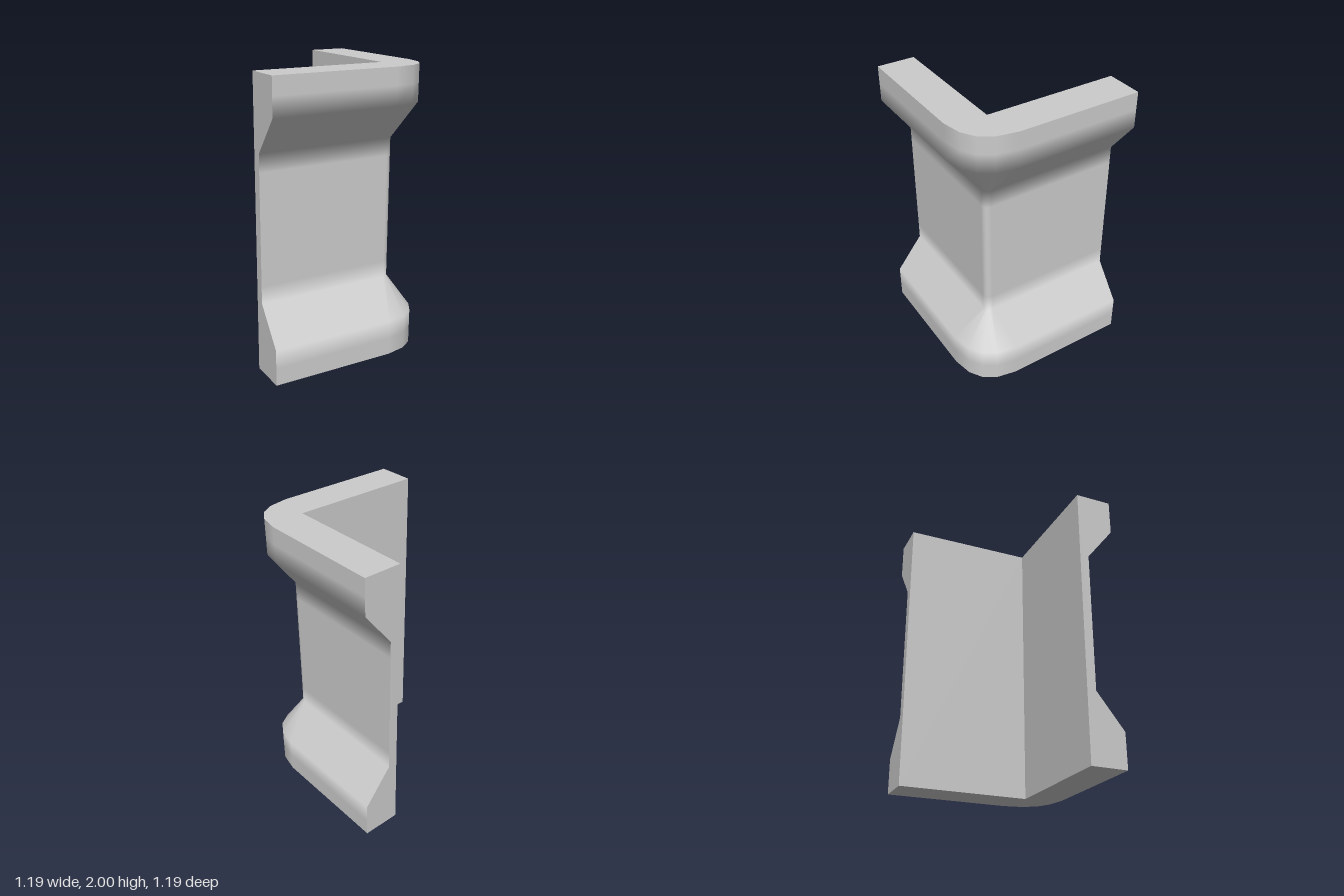
import * as THREE from 'three';

const E = 0.597;      // outer extent
const IN = 0.335;     // inner faces
const WAIST = 0.4;    // recessed outer faces
const H = 2;

// Rows of the outer skin: height, outward reach, corner rounding, vertical tilt of the normal
const lower = [
  [0, E, 1, 0], [0.12, E, 1, 0], [0.25, E, 1, 0.8],
  [0.5, WAIST, 0.15, 0.8], [0.62, WAIST, 0.15, 0],
];
const rows = [...lower, ...lower.map(([y, o, s, t]) => [H - y, o, s, -t]).reverse()];

// Rounded corner, as insets from the sharp corner
const corner = [[0.315, 0], [0.175, 0.028], [0.085, 0.085], [0.028, 0.175], [0, 0.315]];

// Outer outline of one row, from the left end round the corner to the back end
function outline(out, round) {
  return [[-E, out], ...corner.map(([a, b]) => [out - a * round, out - b * round]), [out, -E]];
}

function outerSkin() {
  const pos = [], nor = [], idx = [];
  const angles = [0, 0, 1, 2, 3, 4, 4].map((k) => (k * Math.PI) / 8);
  const n = angles.length;
  rows.forEach(([y, out, round, tilt], i) => {
    outline(out, round).forEach(([x, z], j) => {
      pos.push(x, y, z);
      const v = new THREE.Vector3(Math.sin(angles[j]), tilt, Math.cos(angles[j])).normalize();
      nor.push(v.x, v.y, v.z);
      if (i < rows.length - 1 && j < n - 1) {
        const a = i * n + j;
        idx.push(a, a + 1, a + n + 1, a, a + n + 1, a + n);
      }
    });
  });
  const g = new THREE.BufferGeometry();
  g.setAttribute('position', new THREE.Float32BufferAttribute(pos, 3));
  g.setAttribute('normal', new THREE.Float32BufferAttribute(nor, 3));
  g.setIndex(idx);
  return g;
}

const flat = (pts) =>
  new THREE.ShapeGeometry(new THREE.Shape(pts.map(([x, y]) => new THREE.Vector2(x, y))));

export function createModel() {
  const group = new THREE.Group();
  group.name = 'cornerWall';
  const mat = new THREE.MeshStandardMaterial({ color: 0xcccccc });
  const add = (name, geometry) => {
    const mesh = new THREE.Mesh(geometry, mat);
    mesh.name = name;
    group.add(mesh);
  };

  add('outerFace', outerSkin());

  // L-shaped top and bottom
  const plan = [...outline(E, 1), [IN, -E], [IN, IN], [-E, IN]];
  add('topFace', flat(plan.map(([x, z]) => [x, -z])).rotateX(-Math.PI / 2).translate(0, H, 0));
  add('bottomFace', flat(plan).rotateX(Math.PI / 2));

  // Cut ends showing the wall profile
  const profile = [[IN, 0], ...rows.map(([y, out]) => [out, y]), [IN, H]];
  add('rightEnd', flat(profile).rotateY(-Math.PI / 2).translate(-E, 0, 0));
  add('backEnd', flat(profile.map(([x, y]) => [-x, y])).rotateY(Math.PI).translate(0, 0, -E));

  // Flat inner walls
  const w = E + IN, mid = (IN - E) / 2;
  add('innerFrontWall', new THREE.PlaneGeometry(w, H).rotateY(Math.PI).translate(mid, H / 2, IN));
  add('innerSideWall', new THREE.PlaneGeometry(w, H).rotateY(-Math.PI / 2).translate(IN, H / 2, mid));
  return group;
}
